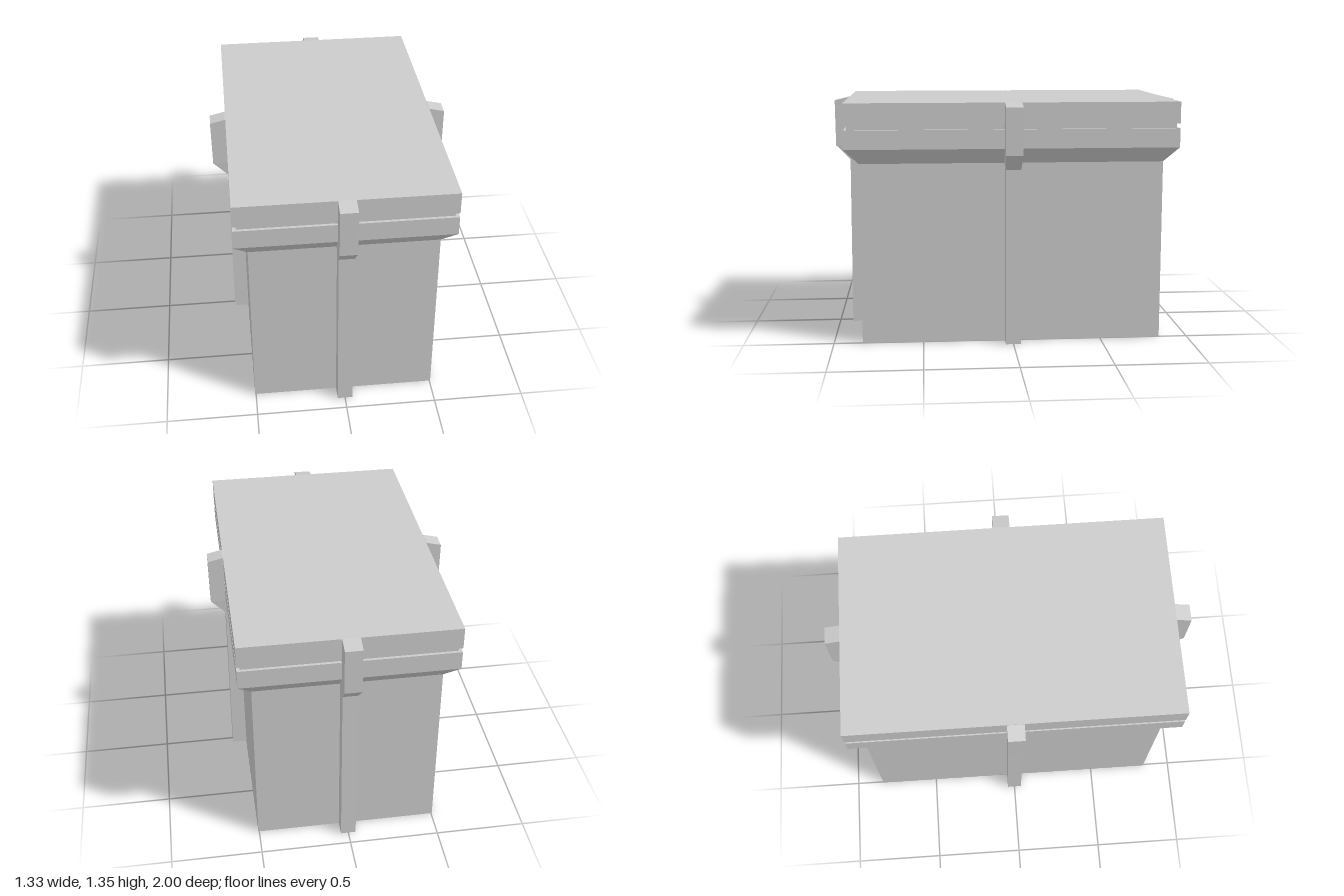
import * as THREE from 'three';

const material = new THREE.MeshStandardMaterial({ color: 0xcccccc, flatShading: true });

// Stack of rectangular sections, each row: [y, half width in x, z back, z front]
function stack(name, rows) {
  const n = rows.length - 1;
  const geo = new THREE.BoxGeometry(1, 1, 1, 1, n, 1);
  const p = geo.attributes.position;
  for (let i = 0; i < p.count; i++) {
    const [y, hx, z0, z1] = rows[Math.round((p.getY(i) + 0.5) * n)];
    p.setXYZ(i, Math.sign(p.getX(i)) * hx, y, p.getZ(i) > 0 ? z1 : z0);
  }
  const flat = geo.toNonIndexed();
  flat.computeVertexNormals();
  const mesh = new THREE.Mesh(flat, material);
  mesh.name = name;
  return mesh;
}

const block = (name, rows) => stack(name, rows.map(([y, hx, hz]) => [y, hx, -hz, hz]));

// Strap rib on one wall: [y, half width, inner and outer distance from the wall]
const strapRows = [
  [0, 0.042, -0.01, 0.083],
  [0.98, 0.042, -0.01, 0.076],
  [1.065, 0.047, 0.03, 0.157],
  [1.325, 0.047, 0.05, 0.159],
  [1.345, 0.047, 0.074, 0.076],
];

export function createModel() {
  const group = new THREE.Group();

  // Box with flared rim, recessed seam and flat lid
  group.add(
    block('body', [[0, 0.505, 0.84], [1.01, 0.505, 0.84], [1.095, 0.578, 0.916], [1.2, 0.578, 0.916]]),
    block('seam', [[1.19, 0.56, 0.9], [1.235, 0.56, 0.9]]),
    block('lid', [[1.225, 0.578, 0.916], [1.345, 0.578, 0.916]]),
  );

  // One strap in the middle of each wall
  const walls = [['front', 0.84], ['left', 0.505], ['back', 0.84], ['right', 0.505]];
  walls.forEach(([side, wall], i) => {
    const strap = stack(side + 'Strap', strapRows.map(([y, w, a, b]) => [y, w, wall + a, wall + b]));
    strap.rotation.y = (i * Math.PI) / 2;
    group.add(strap);
  });

  return group;
}
